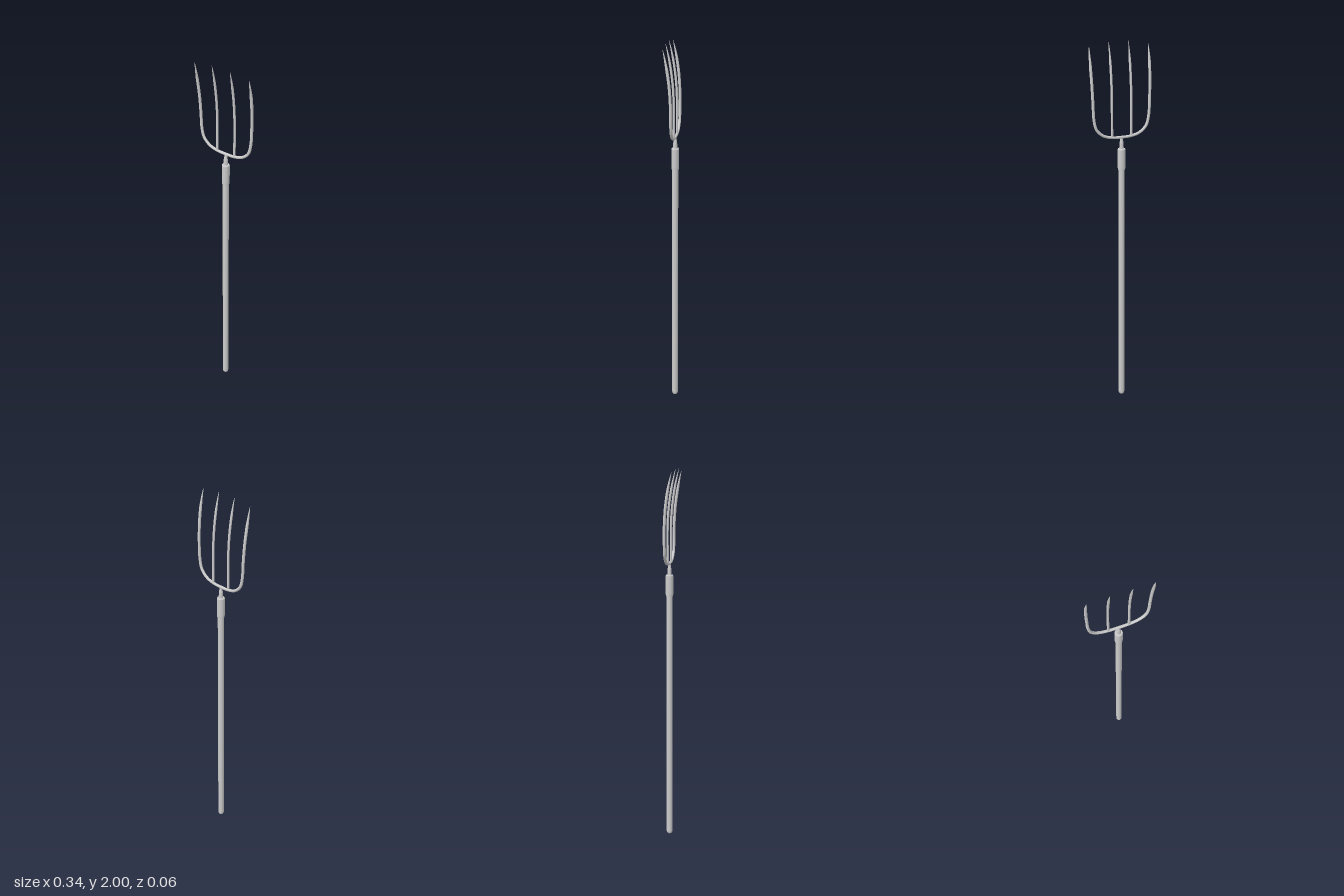
import * as THREE from 'three';

const steel = new THREE.MeshStandardMaterial({ color: 0xcccccc });
const AXIS_Z = -0.01;

// Forward sweep of a tine at height y
const sweepZ = (y) => AXIS_Z - 0.001 + 0.041 * Math.pow(Math.max(0, (y - 1.68) / 0.32), 2);

// Tube whose radius follows radiusAt(t) along the curve
function taperedTube(curve, segments, sides, radiusAt) {
  const geo = new THREE.TubeGeometry(curve, segments, 1, sides, false);
  const pos = geo.attributes.position;
  const v = new THREE.Vector3();
  for (let i = 0; i <= segments; i++) {
    const centre = curve.getPointAt(i / segments);
    const r = radiusAt(i / segments);
    for (let j = 0; j <= sides; j++) {
      const k = i * (sides + 1) + j;
      v.fromBufferAttribute(pos, k).sub(centre).multiplyScalar(r).add(centre);
      pos.setXYZ(k, v.x, v.y, v.z);
    }
  }
  geo.computeBoundingSphere();
  return geo;
}

// Radius narrowing to a point over the last stretch before the tip
const pointed = (r, distance, length) =>
  r * Math.max(0.06, Math.min(1, Math.pow(Math.max(0, distance) / length, 0.7)));

export function createModel() {
  const group = new THREE.Group();
  const add = (name, geo) => {
    const mesh = new THREE.Mesh(geo, steel);
    mesh.name = name;
    group.add(mesh);
    return mesh;
  };

  // Turned parts share one axis; repeated points keep the edges sharp
  const turned = (name, profile) => {
    const pts = profile.map(([r, y]) => new THREE.Vector2(r, y));
    add(name, new THREE.LatheGeometry(pts, 24)).position.z = AXIS_Z;
  };
  turned('handle', [[0, 0], [0.011, 0], [0.011, 0], [0.0145, 0.004], [0.0165, 0.012],
    [0.0165, 0.02], [0.0165, 1.36]]);
  turned('ferrule', [[0.016, 1.343], [0.019, 1.343], [0.019, 1.343], [0.0205, 1.36],
    [0.0205, 1.452], [0.0205, 1.452], [0.018, 1.457], [0.018, 1.457], [0, 1.457]]);
  turned('neck', [[0.0115, 1.45], [0.0105, 1.485], [0.0105, 1.485], [0.007, 1.508], [0.005, 1.522], [0, 1.522]]);

  // Outer tines and crossbar: one continuous bent rod
  const half = [[0.05, 1.519], [0.1, 1.533], [0.137, 1.567], [0.151, 1.62], [0.155, 1.7],
    [0.158, 1.8], [0.16, 1.88], [0.16, 1.94], [0.159, 1.986]];
  const right = half.map(([x, y]) => new THREE.Vector3(x, y, sweepZ(y)));
  const left = right.map((p) => new THREE.Vector3(-p.x, p.y, p.z)).reverse();
  const rod = new THREE.CatmullRomCurve3([...left, new THREE.Vector3(0, 1.517, sweepZ(1.517)), ...right]);
  const rodLength = rod.getLength();
  add('outerTines', taperedTube(rod, 120, 12,
    (t) => pointed(0.0075, Math.min(t, 1 - t) * rodLength, 0.1)));

  // Inner tines rise from the crossbar
  for (const side of [-1, 1]) {
    const pts = [1.52, 1.6, 1.7, 1.78, 1.85, 1.91, 1.96, 2].map(
      (y) => new THREE.Vector3(side * 0.053, y, sweepZ(y)));
    const curve = new THREE.CatmullRomCurve3(pts);
    const length = curve.getLength();
    add(side > 0 ? 'innerTineLeft' : 'innerTineRight',
      taperedTube(curve, 48, 12, (t) => pointed(0.0063, (1 - t) * length, 0.1)));
  }
  return group;
}
